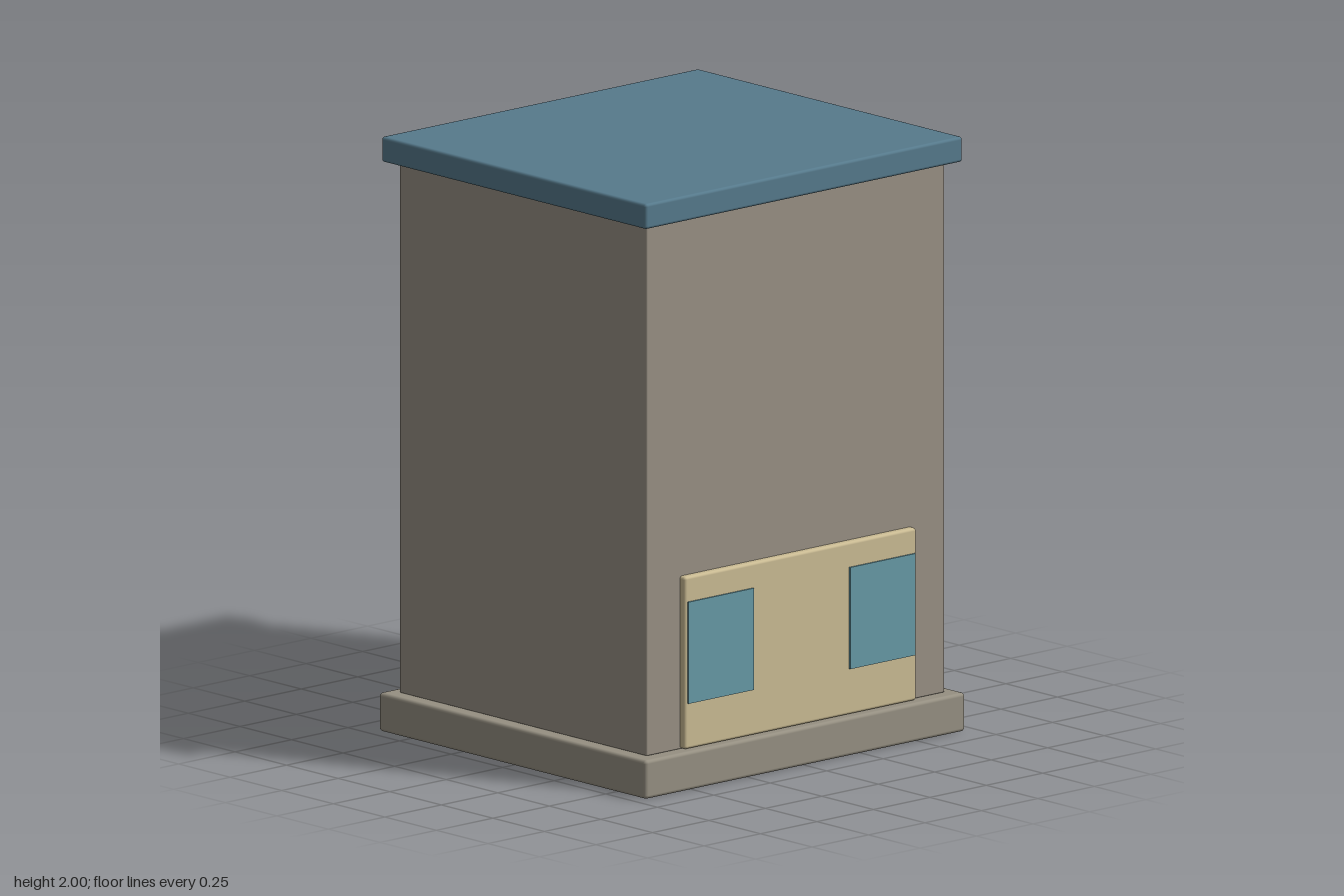
import * as THREE from 'three';
import { RoundedBoxGeometry } from 'three/addons/geometries/RoundedBoxGeometry.js';

function material(name, color) {
  const m = new THREE.MeshStandardMaterial({ color });
  m.name = name;
  return m;
}

export function createModel() {
  const group = new THREE.Group();
  group.name = 'building';

  const wall = material('wall stone', 0x989084);
  const base = material('base stone', 0x969082);
  const roof = material('roof blue', 0x567a8c);
  const trim = material('shopfront cream', 0xcabb93);
  const glass = material('window glass', 0x6699a6);

  // Box given by its width, depth, bottom and top, with softly rounded edges
  function block(name, mat, width, depth, bottom, top, z = 0, radius = 0.01) {
    const height = top - bottom;
    const geometry = radius > 0
      ? new RoundedBoxGeometry(width, height, depth, 2, radius)
      : new THREE.BoxGeometry(width, height, depth);
    const mesh = new THREE.Mesh(geometry, mat);
    mesh.name = name;
    mesh.position.set(0, (bottom + top) / 2, z);
    group.add(mesh);
    return mesh;
  }

  // Plinth, tower and overhanging flat roof
  block('plinth', base, 1.416, 1.296, 0, 0.13, 0, 0.012);
  block('walls', wall, 1.32, 1.2, 0.13, 1.925, 0, 0.005);
  block('roofSlab', roof, 1.404, 1.284, 1.915, 2, 0, 0.01);

  // Shopfront panel standing proud of the front wall
  block('shopfront', trim, 1.026, 0.05, 0.132, 0.712, 0.6, 0.01);

  // Pair of thin window plates
  for (const side of [-1, 1]) {
    const name = side > 0 ? 'windowLeft' : 'windowRight';
    block(name, glass, 0.29, 0.008, 0.286, 0.628, 0.627, 0).position.x = side * 0.358;
  }

  return group;
}
